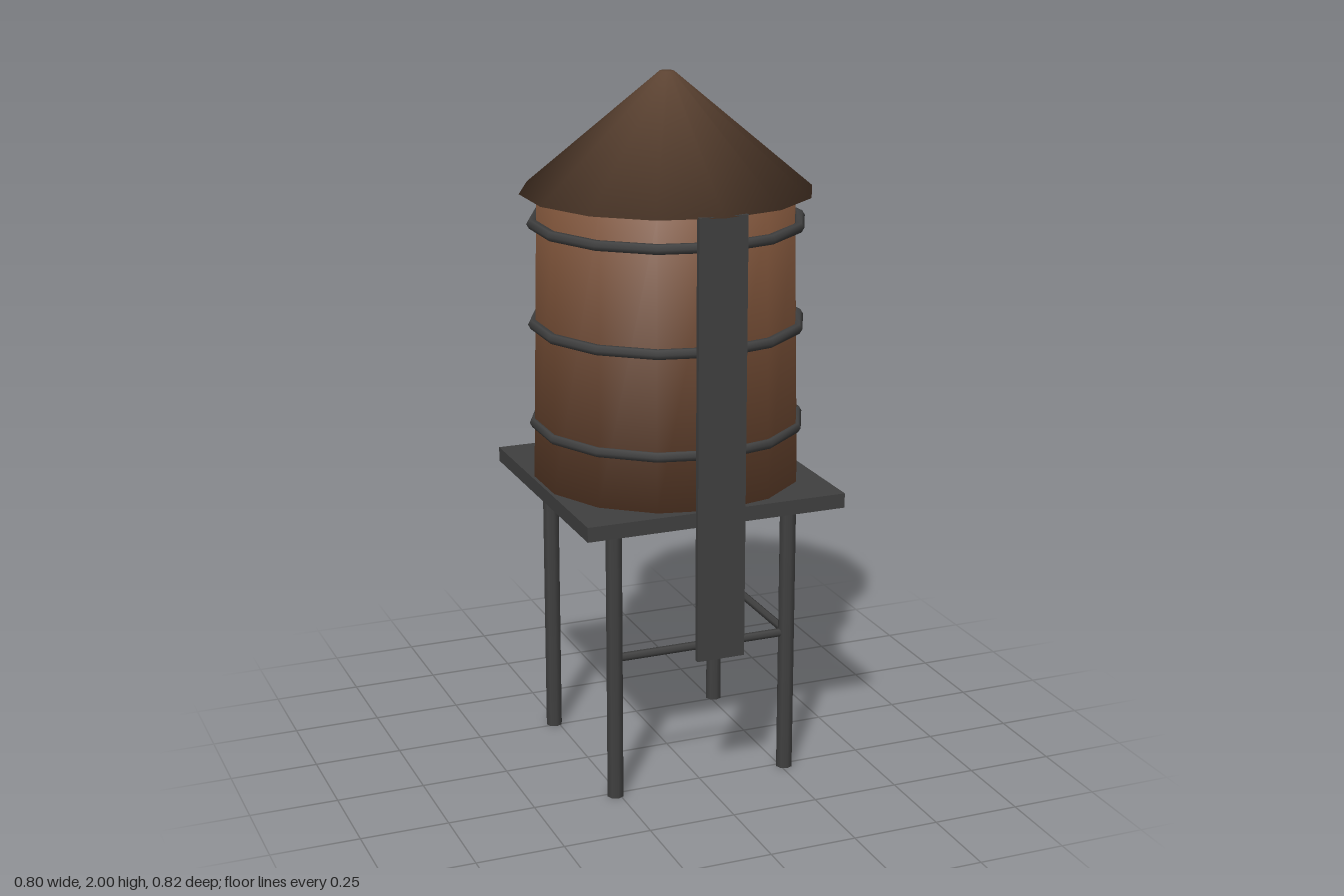
import * as THREE from 'three';
import { mergeVertices } from 'three/addons/utils/BufferGeometryUtils.js';

const wood = new THREE.MeshStandardMaterial({ color: 0x7a5138 });
const roofing = new THREE.MeshStandardMaterial({ color: 0x5c4332 });
const iron = new THREE.MeshStandardMaterial({ color: 0x404040 });

const SIDES = 14;
const LEG = 0.262;

// Weld a solid and give it one soft, angle-weighted normal per corner.
function soften(source) {
  source.deleteAttribute('normal');
  source.deleteAttribute('uv');
  const geo = mergeVertices(source, 1e-4);
  const pos = geo.attributes.position;
  const index = geo.index;
  const sums = Array.from({ length: pos.count }, () => new THREE.Vector3());
  for (let f = 0; f < index.count; f += 3) {
    const ids = [0, 1, 2].map((k) => index.getX(f + k));
    const p = ids.map((i) => new THREE.Vector3().fromBufferAttribute(pos, i));
    const face = new THREE.Triangle(...p).getNormal(new THREE.Vector3());
    for (let k = 0; k < 3; k++) {
      const a = p[(k + 1) % 3].clone().sub(p[k]);
      const b = p[(k + 2) % 3].clone().sub(p[k]);
      sums[ids[k]].addScaledVector(face, a.angleTo(b));
    }
  }
  const normals = sums.flatMap((n) => n.normalize().toArray());
  geo.setAttribute('normal', new THREE.Float32BufferAttribute(normals, 3));
  return geo;
}

export function createModel() {
  const tower = new THREE.Group();
  tower.name = 'waterTower';

  const add = (name, geometry, material, x, y, z) => {
    const mesh = new THREE.Mesh(geometry, material);
    mesh.name = name;
    mesh.position.set(x, y, z);
    tower.add(mesh);
    return mesh;
  };

  // Four legs under a square platform
  const legGeo = new THREE.CylinderGeometry(0.024, 0.024, 0.83, 8);
  for (const x of [-LEG, LEG]) {
    for (const z of [-LEG, LEG]) {
      const name = (z > 0 ? 'front' : 'back') + (x > 0 ? 'Left' : 'Right') + 'Leg';
      add(name, legGeo, iron, x, 0.415, z);
    }
  }
  add('platform', new THREE.BoxGeometry(0.76, 0.042, 0.76), iron, 0, 0.837, 0);

  // Cross braces on the front and left sides
  const braceGeo = new THREE.CylinderGeometry(0.012, 0.012, LEG * 2, 6);
  add('frontBrace', braceGeo, iron, 0, 0.419, LEG).rotation.z = Math.PI / 2;
  add('leftBrace', braceGeo, iron, LEG, 0.419, 0).rotation.x = Math.PI / 2;

  // Tapered wooden tank with three hoops
  const tankGeo = soften(new THREE.CylinderGeometry(0.362, 0.38, 0.82, SIDES));
  add('tank', tankGeo, wood, 0, 1.265, 0);

  const hoopGeo = new THREE.TorusGeometry(0.376, 0.015, 6, SIDES)
    .rotateZ(Math.PI / 2)
    .rotateX(Math.PI / 2);
  for (const y of [1.017, 1.303, 1.588]) add('hoop', hoopGeo, iron, 0, y, 0);

  // Conical roof with a small blunt tip
  const roofGeo = soften(new THREE.CylinderGeometry(0.02, 0.41, 0.328, SIDES));
  add('roof', roofGeo, roofing, 0, 1.836, 0);

  // Flat ladder board up the front
  add('ladder', new THREE.BoxGeometry(0.14, 1.245, 0.016), iron, 0, 1.053, 0.392);

  return tower;
}
